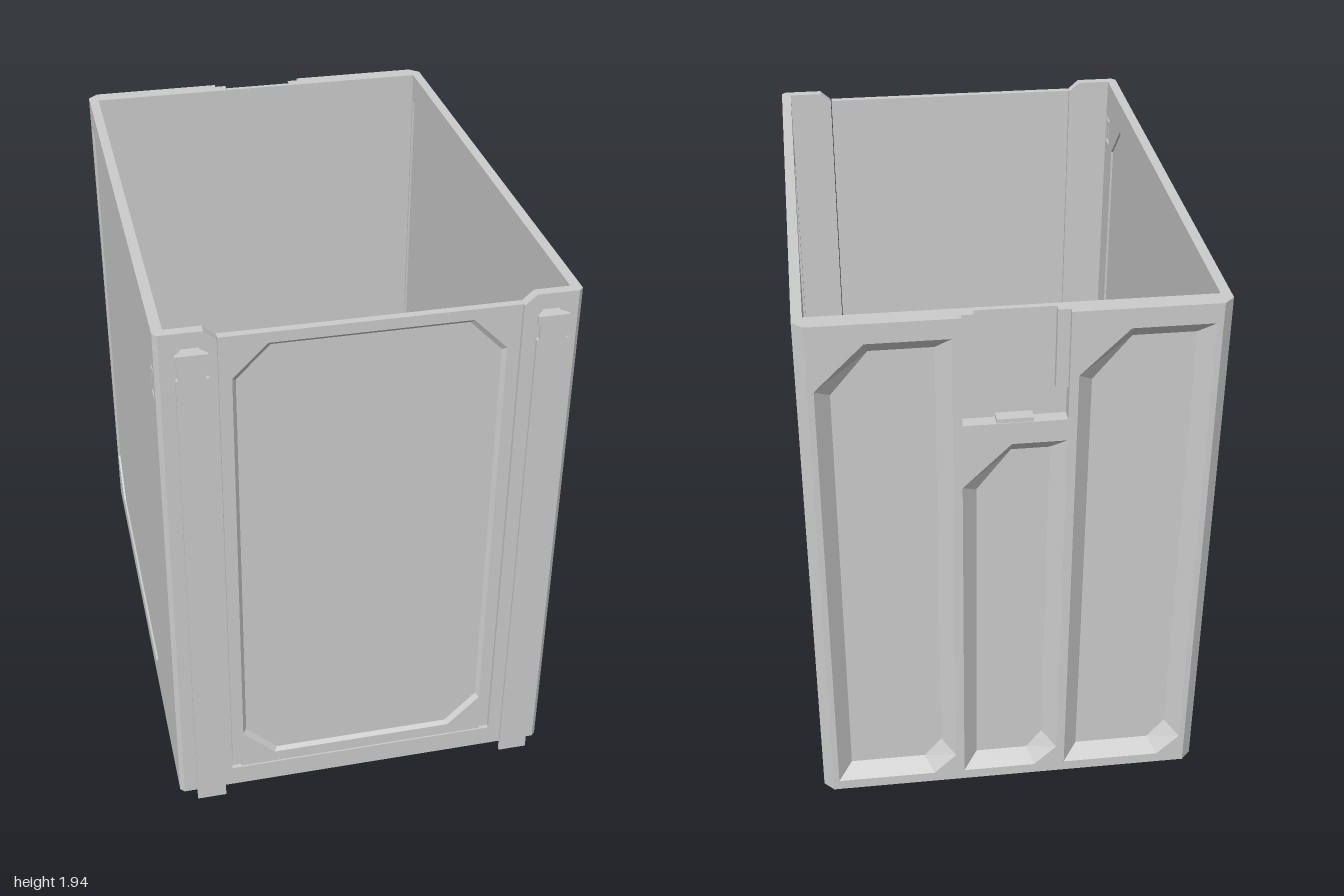
import * as THREE from 'three';

const mat = new THREE.MeshStandardMaterial({ color: 0xcccccc, flatShading: true });
const thinMat = new THREE.MeshStandardMaterial({ color: 0xcccccc, flatShading: true, side: THREE.DoubleSide });

const W = 0.685, H = 1.94, T = 0.035;      // half width, height, wall thickness
const BACK = -1, BACK_IN = -0.935, FRONT = 0.955, FRONT_IN = 0.92;

const toV = (pts) => pts.map(([x, y]) => new THREE.Vector2(x, y));
const rect = (x0, y0, x1, y1) => [[x0, y0], [x1, y0], [x1, y1], [x0, y1]];

// Rectangle with its corners cut: bottom left, bottom right, top right, top left
function cutRect(x0, y0, x1, y1, bl, br, tr, tl) {
  const pts = [];
  const corner = (c, a, b) => (c ? pts.push(a, b) : pts.push(a));
  corner(bl, [x0, y0 + bl], [x0 + bl, y0]);
  corner(br, [x1 - br, y0], [x1, y0 + br]);
  corner(tr, [x1, y1 - tr], [x1 - tr, y1]);
  corner(tl, [x0 + tl, y1], [x0, y1 - tl]);
  return pts;
}

function plate(pts, depth, holes = []) {
  const shape = new THREE.Shape(toV(pts));
  holes.forEach((h) => shape.holes.push(new THREE.Path(toV(h))));
  return new THREE.ExtrudeGeometry(shape, { depth, bevelEnabled: false });
}

// Shrinks a loop towards its middle by a fixed margin on each axis
function inset(pts, m) {
  const b = new THREE.Box2().setFromPoints(toV(pts));
  const c = b.getCenter(new THREE.Vector2()), s = b.getSize(new THREE.Vector2());
  return pts.map(([x, y]) => [
    c.x + (x - c.x) * (1 - 2 * m / s.x),
    c.y + (y - c.y) * (1 - 2 * m / s.y)]);
}

// Sloped band joining a loop at zA to an inset loop at zB
function slope(pts, m, zA, zB) {
  const inner = inset(pts, m), pos = [];
  pts.forEach((a, i) => {
    const j = (i + 1) % pts.length;
    const A = [...a, zA], B = [...pts[j], zA], C = [...inner[j], zB], D = [...inner[i], zB];
    pos.push(...A, ...B, ...C, ...A, ...C, ...D);
  });
  const g = new THREE.BufferGeometry();
  g.setAttribute('position', new THREE.Float32BufferAttribute(pos, 3));
  g.computeVertexNormals();
  return g;
}

export function createModel() {
  const root = new THREE.Group();
  const add = (name, geo, material = mat) => {
    const m = new THREE.Mesh(geo, material);
    m.name = name;
    root.add(m);
    return m;
  };
  const box = (name, x0, x1, y0, y1, z0, z1) =>
    add(name, new THREE.BoxGeometry(x1 - x0, y1 - y0, z1 - z0)
      .translate((x0 + x1) / 2, (y0 + y1) / 2, (z0 + z1) / 2));

  // Floor
  box('floor', -W + T, W - T, 0, 0.04, BACK_IN, FRONT_IN);

  // Side walls: frame with a recessed panel and a clip slot near the front
  const sideOutline = cutRect(-0.925, 0.08, 0.79, 1.83, 0.145, 0.47, 0.145, 0);
  const slot = rect(0.855, 1.69, 0.91, 1.8);
  const sideParts = [
    ['sideFrame', plate(rect(-0.96, 0, 0.94, H), T, [sideOutline, slot]), 0],
    ['sidePanel', plate(sideOutline, T - 0.016), 0.008],
    ['slotTongue', plate(rect(0.864, 1.706, 0.901, 1.784), T), 0],
    ['slotBridge', plate(rect(0.855, 1.73, 0.91, 1.76), T - 0.01), 0.005],
  ];
  for (const s of [1, -1]) {
    for (const [name, geo, off] of sideParts) {
      const x = s > 0 ? W - off : -W + T - off;
      add(name, geo.clone().rotateY(-Math.PI / 2).translate(x, 0, 0));
    }
    // Chamfered corner posts, extruded upwards from plan outlines
    const posts = [
      [[W - T, BACK], [W, BACK + T], [W, -0.96], [W - T, BACK_IN]],
      [[W - T, FRONT_IN], [W, 0.94], [W - 0.015, FRONT], [W - T, FRONT]],
    ];
    posts.forEach((p, i) => {
      const plan = p.map(([x, z]) => [x * s, -z]);
      add(i ? 'frontCornerPost' : 'backCornerPost', plate(plan, H).rotateX(-Math.PI / 2));
    });
  }

  // Back wall: inner sheet and outer plate with three sloped pockets and a latch recess
  const depth = 0.045, X = W - T;
  box('backInnerSheet', -X, X, 0, H, BACK + depth, BACK_IN);
  const pockets = [
    cutRect(0.2, 0.04, 0.63, 1.87, 0.08, 0, 0.16, 0),
    cutRect(-0.17, 0.04, 0.17, 1.47, 0.08, 0, 0.16, 0),
    cutRect(-0.63, 0.04, -0.2, 1.87, 0.08, 0, 0.16, 0),
  ];
  const backOutline = [[-X, 0], [X, 0], [X, H], [0.17, H], [0.17, 1.55],
    [-0.17, 1.55], [-0.17, H], [-X, H]];
  add('backPlate', plate(backOutline, depth, pockets).translate(0, 0, BACK));
  pockets.forEach((p) => add('backPocketSlope', slope(p, 0.05, BACK, BACK + depth), thinMat));

  // Latch recess guides and catch
  for (const s of [1, -1]) {
    const a = 0.13 * s, b = 0.17 * s;
    box('latchGuide', Math.min(a, b), Math.max(a, b), 1.66, H, BACK + 0.02, BACK + depth);
  }
  box('latchCatch', -0.06, 0.06, 1.53, 1.565, BACK + 0.003, BACK + depth);

  // Front wall: U-shaped frame open at the top
  const frontOutline = [[-X, 0], [X, 0], [X, H], [0.53, H], [0.49, 1.905], [0.49, 0.08],
    [-0.49, 0.08], [-0.49, 1.905], [-0.53, H], [-X, H]];
  add('frontFrame', plate(frontOutline, FRONT - FRONT_IN).translate(0, 0, FRONT_IN));

  // Front insert with notched lower corners and a sloped octagonal recess
  const insert = [[-0.455, 0.08], [0.455, 0.08], [0.455, 0.11], [0.487, 0.11], [0.487, 1.908],
    [-0.487, 1.908], [-0.487, 0.11], [-0.455, 0.11]];
  const octagon = cutRect(-0.445, 0.125, 0.445, 1.87, 0.115, 0.115, 0.115, 0.115);
  add('frontInsert', plate(insert, 0.027, [octagon]).translate(0, 0, FRONT_IN + 0.002));
  add('frontInsertSlope', slope(octagon, 0.013, 0.949, 0.936), thinMat);
  add('frontPanel', plate(octagon, 0.014).translate(0, 0, FRONT_IN + 0.002));
  for (const s of [1, -1]) {
    box('insertCornerStop', s * 0.4725 - 0.0175, s * 0.4725 + 0.0175, 0.08, 0.11, FRONT_IN, 0.94);
  }

  // Dovetail rails on the front, with a hooked top and a small side detent
  const railPlan = [[-0.03, -0.95], [-0.03, -0.965], [-0.052, -0.99], [-0.052, -1],
    [0.052, -1], [0.052, -0.99], [0.03, -0.965], [0.03, -0.95]];
  for (const s of [1, -1]) {
    const rail = (name, y0, y1, k) => add(name, plate(railPlan.map(([x, z]) => [x * k, z]), y1 - y0)
      .rotateX(-Math.PI / 2).translate(0.575 * s, y0, 0));
    rail('frontRail', 0, 1.8, 1);
    rail('frontRailNeck', 1.8, 1.85, 0.84);
    rail('frontRailCap', 1.85, 1.885, 1);
    const cx = s * 0.607;
    box('railDetent', cx - 0.014, cx + 0.014, 1.585, 1.675, 0.955, 0.99);
  }
  return root;
}
